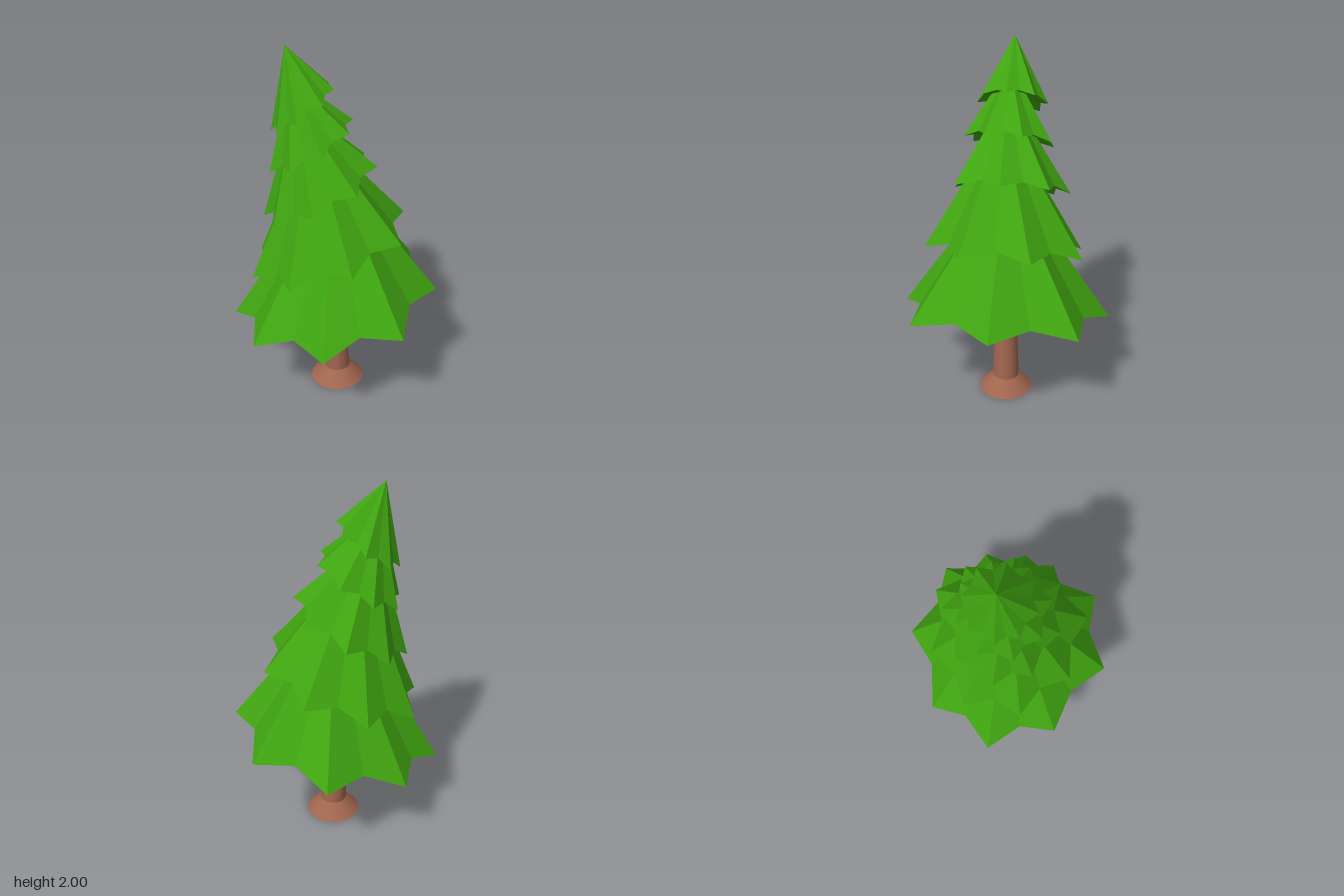
import * as THREE from 'three';

const needles = new THREE.MeshStandardMaterial({ color: 0x40a510, flatShading: true });
needles.name = 'needle green';
const bark = new THREE.MeshStandardMaterial({ color: 0xa0654f, side: THREE.DoubleSide });
bark.name = 'bark brown';

// Each tier: a tilted base plane y = h + sx*x + sz*z, an apex, the share of the
// way to the apex where it stops, and eight branch tips as [x, z].
const TIERS = [
  { plane: [0.515, 0.2, 0.05], apex: [0, 1.35, 0], cut: 0.72,
    tips: [[0.16, -0.55], [0.51, -0.32], [0.54, 0.155], [0.26, 0.54],
      [-0.16, 0.55], [-0.485, 0.23], [-0.545, -0.16], [-0.285, -0.46]] },
  { plane: [0.885, 0.32, 0.1], apex: [-0.12, 1.6, 0.0], cut: 0.7,
    tips: [[-0.08, -0.43], [0.245, -0.375], [0.4, -0.08], [0.3, 0.28],
      [0.01, 0.44], [-0.295, 0.315], [-0.455, 0.03], [-0.37, -0.275]] },
  { plane: [1.243, 0.51, 0.13], apex: [-0.2, 1.72, -0.03], cut: 0.7,
    tips: [[0.02, -0.34], [0.2, -0.2], [0.215, 0.055], [0.065, 0.275],
      [-0.16, 0.26], [-0.34, 0.1], [-0.365, -0.11], [-0.22, -0.29]] },
  { plane: [1.532, 0.55, 0.17], apex: [-0.22, 1.85, -0.045], cut: 0.7,
    tips: [[-0.135, -0.27], [0.03, -0.23], [0.11, -0.07], [0.055, 0.115],
      [-0.097, 0.21], [-0.255, 0.15], [-0.34, 0], [-0.285, -0.18]] },
  { plane: [1.78, 0.7, 0.17], apex: [-0.235, 2, -0.07], cut: 1,
    tips: [[-0.1, -0.23], [0, -0.145], [0, 0], [-0.08, 0.115],
      [-0.21, 0.13], [-0.3, 0.035], [-0.315, -0.09], [-0.235, -0.205]] },
];

function tierGeometry({ plane: [h, sx, sz], apex, cut, tips }) {
  const top = new THREE.Vector3(...apex);
  const tipPoints = tips.map(([x, z]) => new THREE.Vector3(x, h + sx * x + sz * z, z));
  const centre = new THREE.Vector3();
  tipPoints.forEach((p) => centre.addScaledVector(p, 1 / tipPoints.length));
  const hub = centre.clone().lerp(top, 0.18);
  const notchTarget = centre.clone().lerp(top, 0.5);

  // Rim alternates tips with notches drawn inward and up
  const rim = [];
  tipPoints.forEach((p, i) => {
    const next = tipPoints[(i + 1) % tipPoints.length];
    rim.push(p, p.clone().lerp(next, 0.5).lerp(notchTarget, 0.12));
  });
  const upper = rim.map((p) => p.clone().lerp(top, cut));
  const capCentre = centre.clone().lerp(top, cut);

  const positions = [];
  const face = (...corners) => corners.forEach((p) => positions.push(p.x, p.y, p.z));
  rim.forEach((a, i) => {
    const j = (i + 1) % rim.length;
    face(rim[j], a, upper[i]);
    if (cut < 1) {
      face(rim[j], upper[i], upper[j]);
      face(upper[j], upper[i], capCentre);
    }
    face(a, rim[j], hub);
  });
  const geometry = new THREE.BufferGeometry();
  geometry.setAttribute('position', new THREE.Float32BufferAttribute(positions, 3));
  geometry.computeVertexNormals();
  return geometry;
}

// Tapered trunk, curved by shifting each ring sideways
function trunkGeometry() {
  const bottom = 0.08, height = 0.67;
  const geometry = new THREE.CylinderGeometry(0.05, 0.074, height, 16, 6, true);
  geometry.translate(0, bottom + height / 2, 0);
  const pos = geometry.attributes.position;
  for (let i = 0; i < pos.count; i++) {
    const t = (pos.getY(i) - bottom) / height;
    pos.setX(i, pos.getX(i) + 0.015 - 0.045 * t + 0.015 * t * t);
    pos.setZ(i, pos.getZ(i) + 0.004 * (1 - t));
  }
  geometry.computeVertexNormals();
  return geometry;
}

export function createModel() {
  const tree = new THREE.Group();
  tree.name = 'pineTree';
  const add = (name, geometry, material) => {
    const mesh = new THREE.Mesh(geometry, material);
    mesh.name = name;
    tree.add(mesh);
    return mesh;
  };

  add('trunk', trunkGeometry(), bark);
  // Flared foot of the trunk, open below
  const foot = add('trunkFoot', new THREE.CylinderGeometry(0.074, 0.15, 0.08, 16, 1, true), bark);
  foot.position.set(0.015, 0.04, 0.004);

  TIERS.forEach((tier, i) => add(`branchTier${i + 1}`, tierGeometry(tier), needles));
  return tree;
}
